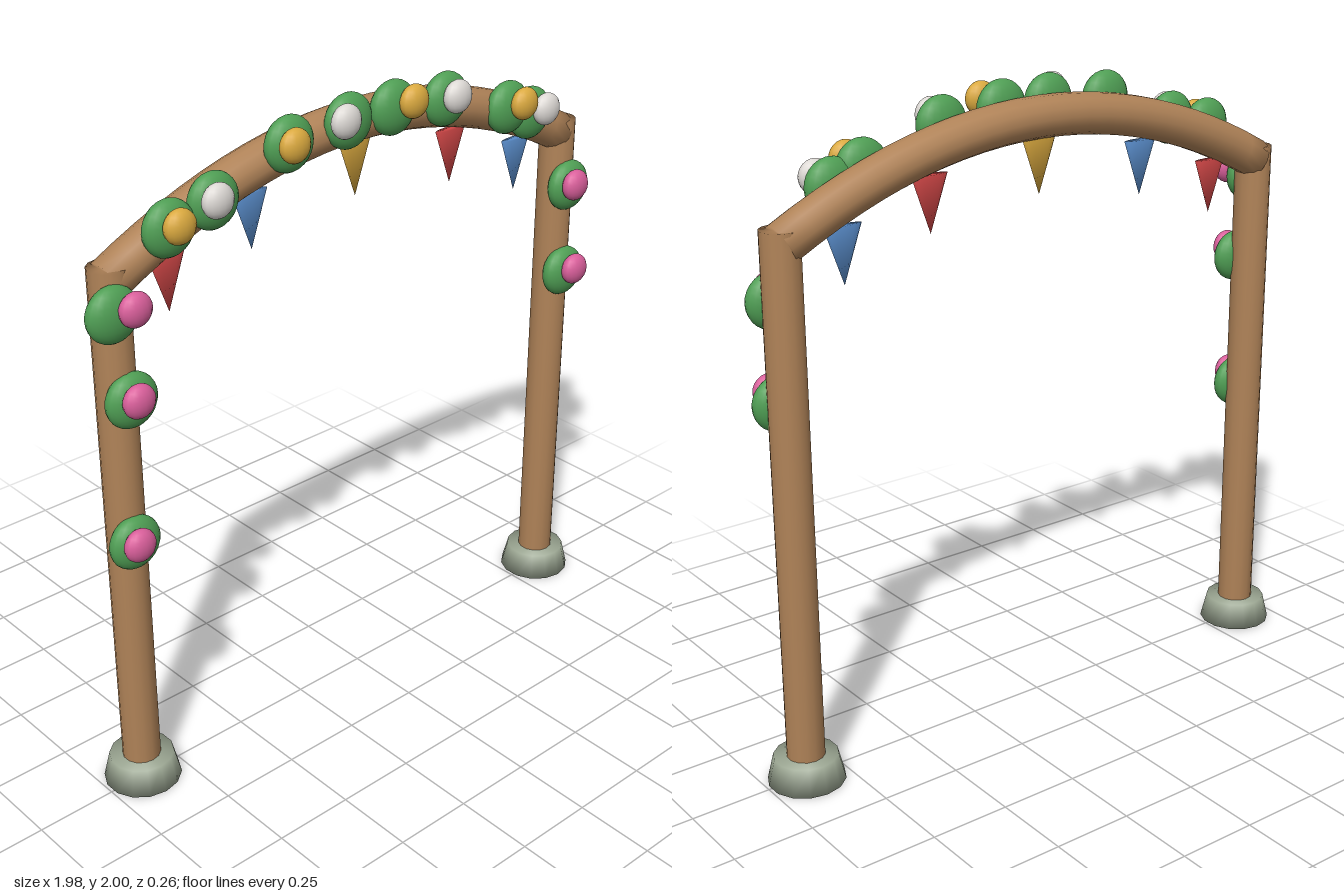
import * as THREE from 'three';
import { mergeVertices } from 'three/addons/utils/BufferGeometryUtils.js';

const paint = (name, color) => {
  const m = new THREE.MeshStandardMaterial({ color });
  m.name = name;
  return m;
};

// Weld all vertices so the shading rolls softly over every rim
function soften(geometry) {
  geometry.deleteAttribute('normal');
  geometry.deleteAttribute('uv');
  const welded = mergeVertices(geometry, 1e-4);
  welded.computeVertexNormals();
  return welded;
}

export function createModel() {
  const wood = paint('wood', 0xb08358);
  const stone = paint('stone', 0x9ca793);
  const leaf = paint('leaf green', 0x4f9e54);
  const pink = paint('pink', 0xd95f9b);
  const gold = paint('gold', 0xdaa93f);
  const white = paint('petal white', 0xdcd8d4);
  const red = paint('red', 0xd94a4a);
  const blue = paint('blue', 0x5f95d6);

  const model = new THREE.Group();
  model.name = 'gardenArch';
  const add = (name, geometry, material, x, y, z) => {
    const mesh = new THREE.Mesh(geometry, material);
    mesh.name = name;
    mesh.position.set(x, y, z);
    model.add(mesh);
    return mesh;
  };
  const midZ = -0.01;

  // Posts on stone feet
  const postGeo = soften(new THREE.CylinderGeometry(0.058, 0.058, 1.67, 14));
  const footGeo = soften(new THREE.CylinderGeometry(0.098, 0.118, 0.083, 14));
  for (const [side, x] of [['left', 0.875], ['right', -0.875]]) {
    add(side + 'Post', postGeo, wood, x, 0.855, midZ);
    add(side + 'Foot', footGeo, stone, x, 0.0415, midZ);
  }

  // Arched beam: a straight log bent along a parabola
  const half = 0.875, rise = 0.24, crown = 1.887;
  const beam = new THREE.CylinderGeometry(0.063, 0.063, 2, 14, 24);
  beam.rotateZ(-Math.PI / 2);
  const p = beam.attributes.position;
  for (let i = 0; i < p.count; i++) {
    const u = p.getX(i), r = p.getY(i);
    const slope = (2 * rise * u) / half, len = Math.hypot(1, slope);
    p.setXY(i, half * u + (r * slope) / len, crown - rise * u * u + r / len);
  }
  add('archBeam', soften(beam), wood, 0, 0, -0.013);

  // Leaf clumps, each with one blossom: leaf x, y, blossom x, y, colour
  const leafGeo = new THREE.SphereGeometry(1, 20, 14).scale(0.083, 0.083, 0.044);
  const blossomGeo = new THREE.SphereGeometry(1, 16, 12).scale(0.051, 0.051, 0.032);
  const clumps = [
    [-0.907, 1.58, -0.868, 1.6, pink],
    [-0.865, 1.312, -0.875, 1.332, pink],
    [-0.885, 0.867, -0.903, 0.888, pink],
    [-0.713, 1.77, -0.713, 1.79, gold],
    [-0.563, 1.808, -0.585, 1.828, white],
    [-0.295, 1.902, -0.316, 1.915, gold],
    [-0.077, 1.917, -0.13, 1.94, white],
    [0.095, 1.917, 0.13, 1.94, gold],
    [0.306, 1.895, 0.306, 1.915, white],
    [0.575, 1.808, 0.595, 1.828, gold],
    [0.675, 1.768, 0.695, 1.788, white],
    [0.875, 1.478, 0.852, 1.498, pink],
    [0.872, 1.178, 0.872, 1.2, pink],
  ];
  for (const [lx, ly, bx, by, color] of clumps) {
    add('leafClump', leafGeo, leaf, lx, ly, 0.047);
    add('blossom', blossomGeo, color, bx, by, 0.099);
  }

  // Bunting: flattened cones pointing down, placed by their top edge
  const pennantGeo = soften(
    new THREE.CylinderGeometry(0.062, 0, 0.172, 12).scale(1, 1, 0.25));
  const bunting = [
    [-0.683, 1.67, red], [-0.39, 1.77, blue], [0, 1.828, gold],
    [0.388, 1.77, red], [0.678, 1.67, blue],
  ];
  for (const [x, top, color] of bunting) {
    add('pennant', pennantGeo, color, x, top - 0.086, midZ);
  }
  return model;
}
